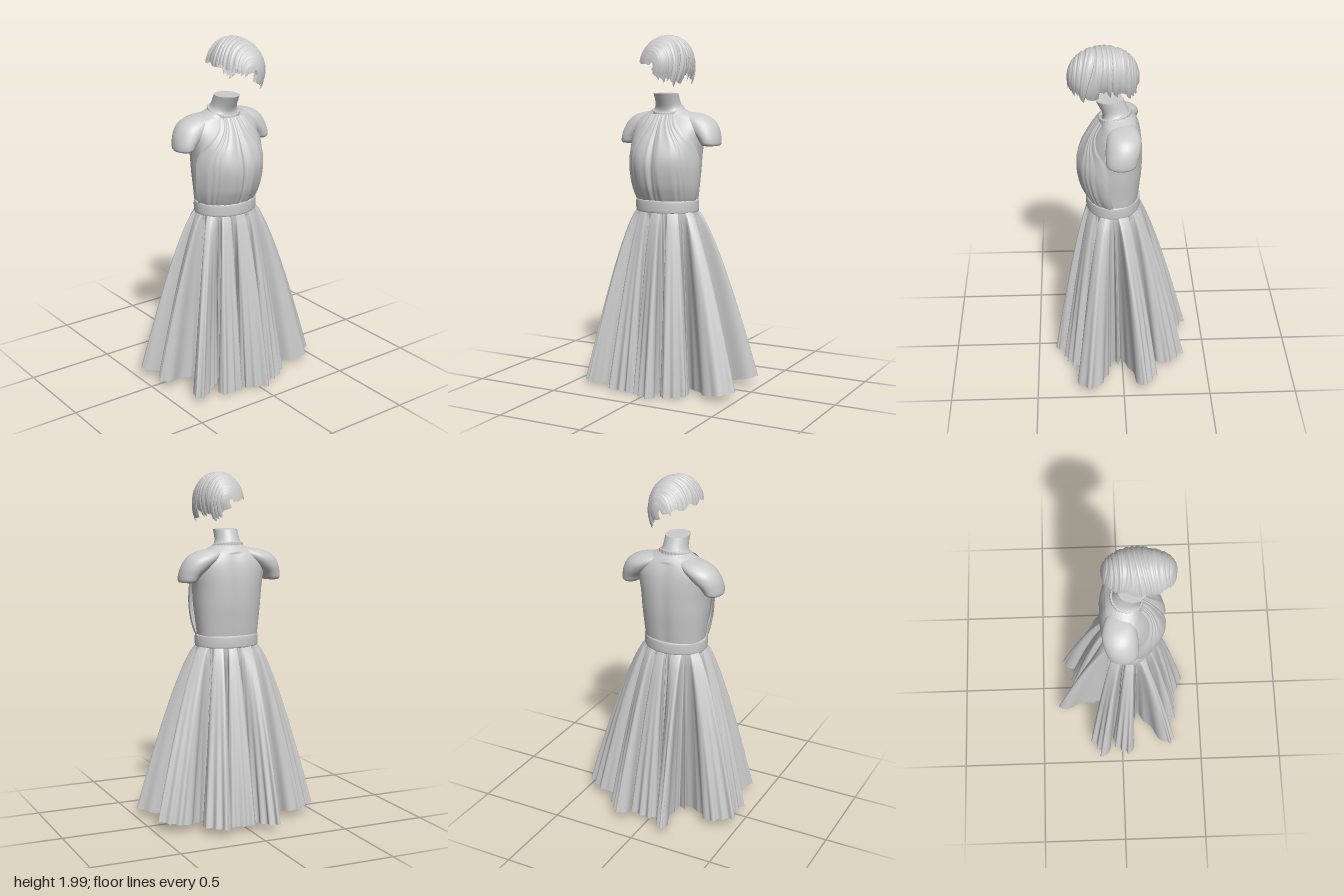
import * as THREE from 'three';

const mat = new THREE.MeshStandardMaterial({ color: 0xcccccc, side: THREE.DoubleSide });

// Grid surface from fn(u, v) -> [x, y, z]; "closed" welds the u direction.
function surface(name, nu, nv, closed, fn) {
  const pos = [], idx = [], cols = closed ? nu : nu + 1;
  for (let j = 0; j <= nv; j++)
    for (let i = 0; i < cols; i++) pos.push(...fn(i / nu, j / nv));
  for (let j = 0; j < nv; j++)
    for (let i = 0; i < nu; i++) {
      const a = j * cols + i, b = j * cols + (i + 1) % cols;
      idx.push(a, b, b + cols, a, b + cols, a + cols);
    }
  const g = new THREE.BufferGeometry();
  g.setAttribute('position', new THREE.Float32BufferAttribute(pos, 3));
  g.setIndex(idx);
  g.computeVertexNormals();
  const m = new THREE.Mesh(g, mat);
  m.name = name;
  return m;
}

// Smooth interpolation between the rows of a small table.
function sample(rows, v) {
  const f = v * (rows.length - 1), i = Math.min(Math.floor(f), rows.length - 2), t = f - i;
  const at = k => rows[Math.max(0, Math.min(rows.length - 1, k))];
  return rows[0].map((_, c) => {
    const [a, b, d, e] = [at(i - 1)[c], at(i)[c], at(i + 1)[c], at(i + 2)[c]];
    return b + 0.5 * t * (d - a + t * (2 * a - 5 * b + 4 * d - e + t * (3 * (b - d) + e - a)));
  });
}

function cap(name, x, y, z, rx, rz, down) {
  const m = new THREE.Mesh(new THREE.CircleGeometry(1, 32), mat);
  m.rotation.x = down ? Math.PI / 2 : -Math.PI / 2;
  m.scale.set(rx, rz, 1);
  m.position.set(x, y, z);
  m.name = name;
  return m;
}

const CX = -0.01; // body axis
const TAU = Math.PI * 2;
const lerp = THREE.MathUtils.lerp;

// Skirt: eleven fanned folds, each given by three hem points (x, z).
const FOLDS = [
  [-0.15, -0.395, -0.10, -0.36, -0.06, -0.28], [-0.035, -0.305, 0.04, -0.31, 0.12, -0.28],
  [0.155, -0.365, 0.21, -0.32, 0.26, -0.25], [0.35, -0.195, 0.43, -0.16, 0.485, -0.11],
  [0.38, 0.105, 0.485, 0.20, 0.38, 0.27], [0.235, 0.27, 0.18, 0.32, 0.105, 0.335],
  [0.06, 0.39, -0.02, 0.36, -0.075, 0.32], [-0.095, 0.33, -0.16, 0.335, -0.24, 0.33],
  [-0.26, 0.25, -0.37, 0.325, -0.40, 0.29], [-0.46, 0.055, -0.44, 0.0, -0.39, -0.05],
  [-0.485, -0.12, -0.42, -0.155, -0.35, -0.195],
];
// Share of a fold's waist sector reached at each of its eight hem points
const WAIST = [0.14, 0.24, 0.5, 0.76, 0.86, 0.95, 1, 1.05, 1.14];

function makeSkirt() {
  const n = FOLDS.length, angles = [];
  for (const p of FOLDS) {
    let a = Math.atan2((p[1] + p[5]) / 2 - 0.03, (p[0] + p[4]) / 2);
    while (angles.length && a < angles[angles.length - 1]) a += TAU;
    angles.push(a);
  }
  // Valley angle between fold k and fold k + 1
  const valley = k => k < 0 ? valley(n - 1) - TAU : k >= n ? valley(k - n) + TAU
    : (angles[k] + (k === n - 1 ? angles[0] + TAU : angles[k + 1])) / 2;
  const inner = (a, r) => [0.2 * r * Math.cos(a), 0.03 + 0.165 * r * Math.sin(a)];
  const pts = [];
  FOLDS.forEach((p, k) => {
    const c = Math.cos(angles[k]), s = Math.sin(angles[k]), v = valley(k), w = 0.038;
    const [bx, bz] = inner(angles[k], 1);
    const sx = bx + 0.25 * ((p[0] + p[4]) / 2 - bx), sz = bz + 0.25 * ((p[1] + p[5]) / 2 - bz);
    // Stem, hem tip, stem, then a small ruffle tucked inside the valley
    pts.push([sx + s * w, sz - c * w], [p[0], p[1]], [p[2], p[3]], [p[4], p[5]], [sx - s * w, sz + c * w],
      inner(v - 0.1, 0.9), inner(v, 1.2), inner(v + 0.1, 0.9));
  });
  const curve = new THREE.CatmullRomCurve3(pts.map(([x, z]) => new THREE.Vector3(x, 0, z)), true, 'centripetal');
  const nu = n * 112, hem = [];
  for (let i = 0; i < nu; i++) {
    const u = i / nu, q = curve.getPoint(u), t = curve.getTangent(u);
    const seg = i / 14, k = Math.floor(seg / 8), j = Math.floor(seg) % 8;
    const a = lerp(WAIST[j], WAIST[j + 1], seg % 1), over = a > 1 ? 1 : 0;
    const th = lerp(valley(k - 1 + over), valley(k + over), a - over);
    const r = (j < 4 ? 0.009 : 0.003) * Math.cos(seg * TAU * 1.5);
    hem.push({ x: q.x, z: q.z, nx: t.z * r, nz: -t.x * r, th });
  }
  return surface('pleatedSkirt', nu, 24, true, (u, v) => {
    const h = hem[Math.round(u * nu) % nu], f = Math.pow(v, 0.74), ripple = v * v;
    const wx = CX + 0.178 * Math.cos(h.th), wz = 0.045 + 0.143 * Math.sin(h.th);
    const bottom = 0.005 + 0.05 * (h.x / 0.49) ** 2 + 0.04 * Math.max(0, -h.z / 0.4);
    return [wx + (h.x - wx) * f + h.nx * ripple, 1.025 + (bottom - 1.025) * v,
      wz + (h.z - wz) * f + h.nz * ripple];
  });
}

// Rows: y, half width, back z, front z
const TORSO = [
  [1.00, 0.170, -0.085, 0.17], [1.08, 0.175, -0.098, 0.17], [1.16, 0.183, -0.108, 0.185],
  [1.25, 0.192, -0.118, 0.20], [1.34, 0.198, -0.122, 0.20], [1.42, 0.207, -0.120, 0.175],
  [1.49, 0.212, -0.110, 0.14], [1.54, 0.185, -0.092, 0.11], [1.57, 0.125, -0.072, 0.10],
  [1.59, 0.085, -0.056, 0.10], [1.62, 0.069, -0.040, 0.112], [1.675, 0.066, -0.015, 0.14],
];
// Rows: y, half width, front z, edge angle
const BODICE = [
  [1.06, 0.176, 0.180, 1.50], [1.11, 0.196, 0.207, 1.46], [1.17, 0.211, 0.232, 1.42],
  [1.25, 0.220, 0.248, 1.38], [1.32, 0.220, 0.246, 1.38], [1.39, 0.216, 0.224, 1.22],
  [1.45, 0.214, 0.194, 0.86], [1.51, 0.200, 0.158, 0.58], [1.56, 0.145, 0.122, 0.62],
];
// Rows: y, centre x, x radius, z radius, centre z
const SHOULDER = [
  [1.388, 0.255, 0.046, 0.066, 0.005], [1.40, 0.253, 0.053, 0.080, 0.005],
  [1.43, 0.241, 0.063, 0.087, 0.002], [1.47, 0.212, 0.082, 0.094, -0.005],
  [1.51, 0.178, 0.095, 0.094, -0.010], [1.54, 0.145, 0.095, 0.082, -0.010],
  [1.562, 0.115, 0.070, 0.057, -0.008], [1.574, 0.090, 0.002, 0.002, -0.005],
];

// Hair: swept slices running from a raised parting on one side to tips on the other.
function makeHair(name, scale, shift) {
  const rnd = i => { const s = Math.sin(i * 12.99 + shift) * 437.5; return s - Math.floor(s); };
  return surface(name, 200, 32, false, (u, v) => {
    const k = (u * 2 - 1) * 1.5, s = Math.max(0.03, Math.cos(k) ** 0.8);
    // Locks of uneven width that bend across the slices
    const w = u * 14 + shift + 0.35 * Math.sin(v * 4 + u * 9) + 0.3 * Math.sin(u * 23 + v * 2) + v * (u - 0.5);
    const lock = w - Math.floor(w), jag = rnd(Math.floor(w));
    const start = 2.95 + 0.08 * Math.sin(u * 31);
    const a = start + v * (-0.25 - 0.3 * jag * (1 - lock) - start);
    const r = scale * s * (0.93 + 0.06 * Math.sqrt(Math.sin(lock * Math.PI)) + 0.01 * Math.sin(w * 19));
    const drop = Math.max(0, v - 0.6) / 0.4;
    const notch = 0.05 * Math.exp(-(((u - 0.47) / 0.09) ** 2)); // short over the ear
    return [
      0.02 + 0.138 * r * Math.cos(a) - 0.015 * drop * drop,
      1.828 + 0.17 * r * Math.sin(a) - drop * (0.015 + 0.03 * jag - notch),
      0.095 + 0.193 * scale * Math.sin(k) + 0.012 * s * Math.sin(v * 5 + u * 4),
    ];
  });
}

export function createModel() {
  const model = new THREE.Group();
  model.name = 'dressedBust';
  model.add(makeSkirt());

  // Torso with a shallow spine groove, running up into the neck
  model.add(surface('torso', 72, 60, true, (u, v) => {
    const [y, w, back, front] = sample(TORSO, v), a = u * TAU, c = Math.cos(a);
    const zc = (back + front) / 2, d = (front - back) / 2;
    const groove = y < 1.55 ? 0.008 * Math.exp(-(((a - Math.PI) / 0.2) ** 2)) : 0;
    return [CX + w * Math.sin(a), y, zc + d * Math.sign(c) * Math.abs(c) ** (y < 1.56 ? 0.82 : 0.95) + groove];
  }));
  model.add(cap('neckTop', CX, 1.675, 0.0625, 0.066, 0.0775, false));

  // Shoulders sloping out of the neck, ending in flat upper-arm cuts
  for (const [side, sx] of [['left', 1], ['right', -1]]) {
    model.add(surface(side + 'Shoulder', 40, 32, true, (u, v) => {
      const [y, cx, rx, rz, cz] = sample(SHOULDER, v), a = u * TAU;
      return [CX + sx * cx + rx * Math.sin(a), y, cz + rz * Math.cos(a)];
    }));
    model.add(cap(side + 'ArmCut', CX + sx * 0.255, 1.388, 0.005, 0.046, 0.066, true));
  }

  // Gathered halter bodice, open at the back
  model.add(surface('halterBodice', 200, 44, false, (u, v) => {
    const [y, w, front, edge] = sample(BODICE, v), s = u * 2 - 1, a = s * edge;
    const r = 1 + 0.016 * Math.sin(s * 38 + Math.sin(s * 11) * 2) * (0.25 + Math.abs(v - 0.5) * 1.4);
    const crease = 0.014 * Math.exp(-((s / 0.06) ** 2)) * Math.sin(Math.PI * v);
    const bust = 0.008 * Math.exp(-(((Math.abs(s) - 0.42) / 0.25) ** 2) - ((v - 0.55) / 0.2) ** 2);
    return [CX + w * r * Math.sin(a), y, 0.035 + (front - 0.035) * r * Math.cos(a) - crease + bust];
  }));

  // Rounded bands: closed loops with a small flattened section
  const band = (name, y, h, rx, rz, zc, thick, tilt, ruffle) =>
    model.add(surface(name, 120, 16, true, (u, v) => {
      const a = u * TAU, b = v * TAU - Math.PI / 2;
      const sq = q => Math.sign(q) * Math.sqrt(Math.abs(q));
      const o = thick * sq(Math.cos(b)) + ruffle * Math.sin(a * 30);
      return [CX + (rx + o) * Math.sin(a), y + h * sq(Math.sin(b)) - tilt * Math.cos(a),
        zc + (rz + o) * Math.cos(a)];
    }));
  band('waistband', 1.048, 0.035, 0.178, 0.145, 0.045, 0.008, 0, 0);
  band('halterCollar', 1.572, 0.02, 0.083, 0.082, 0.032, 0.007, 0.02, 0.0015);

  model.add(makeHair('hair', 1, 0), makeHair('innerHair', 0.94, 0.45));
  return model;
}
